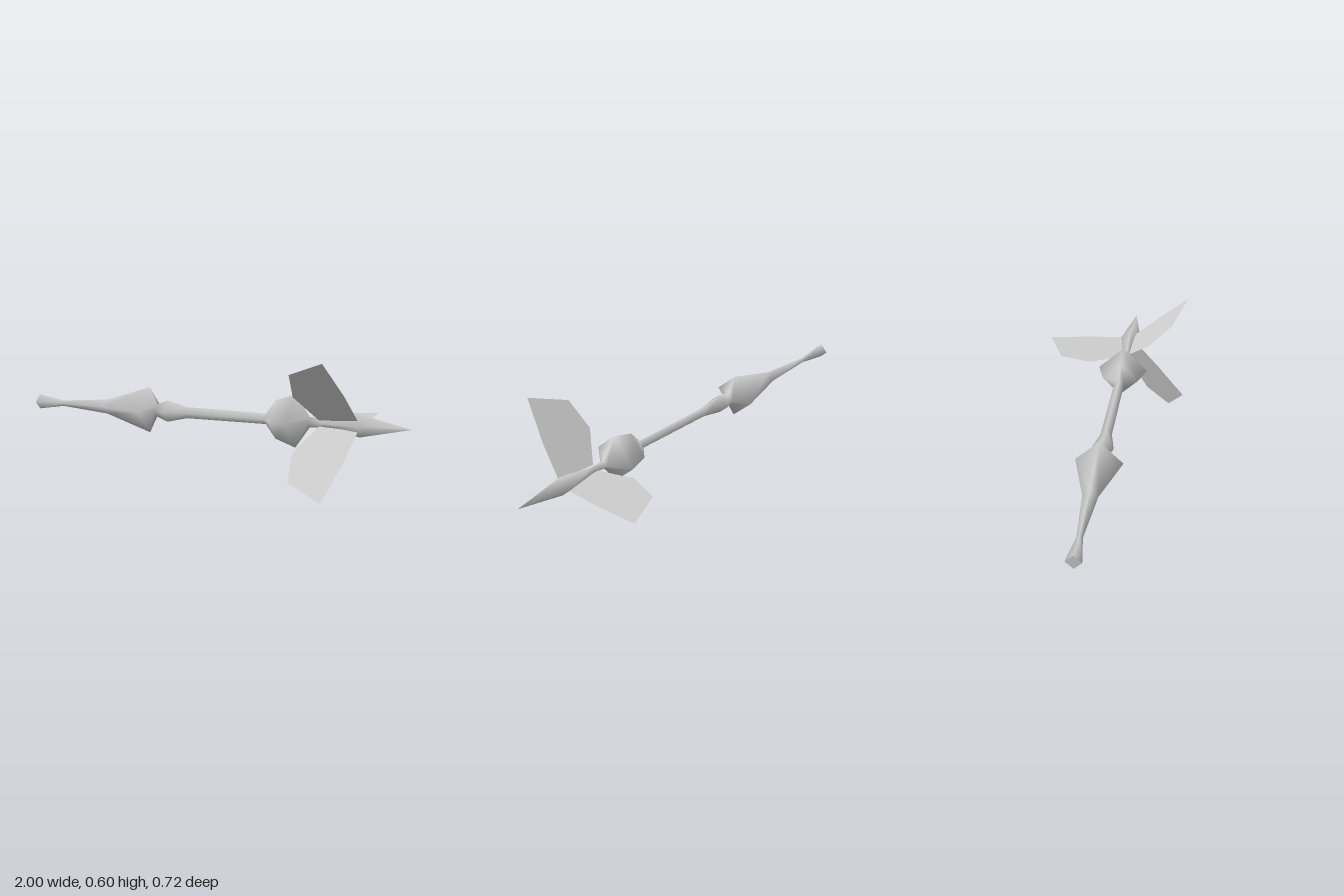
import * as THREE from 'three';

export function createModel() {
  const model = new THREE.Group();
  model.name = 'dart';
  const grey = new THREE.MeshStandardMaterial({ color: 0xcccccc, side: THREE.DoubleSide });
  grey.name = 'light grey';

  // Everything sits on one long axis running along x
  const axis = new THREE.Group();
  axis.name = 'dartAxis';
  axis.position.set(0, 0.302, 0.062);
  model.add(axis);

  const add = (name, geometry) => {
    const mesh = new THREE.Mesh(geometry, grey);
    mesh.name = name;
    axis.add(mesh);
    return mesh;
  };

  // Four-sided smooth body: [radius, position along x]
  const profile = [
    [0.037, -1], [0.014, -0.85], [0.036, -0.58], [0.112, -0.33],
    [0.03, -0.29], [0.052, -0.23], [0.027, -0.12], [0.025, 0.3],
    [0.09, 0.35], [0.124, 0.45], [0.025, 0.52], [0.019, 0.59],
    [0.052, 0.76], [0, 1],
  ].map(([r, x]) => new THREE.Vector2(r, x));
  add('body', new THREE.LatheGeometry(profile, 4).rotateZ(-Math.PI / 2));

  // Flat cap closing the flared end
  const cap = add('endCap', new THREE.CircleGeometry(0.037, 4).rotateY(-Math.PI / 2));
  cap.position.x = -1;

  // Three flat fins, one straight back and two at 45 degrees to the front
  const outline = [
    [0.57, 0.02], [0.76, 0.03], [0.74, 0.21], [0.698, 0.424], [0.518, 0.336], [0.49, 0.178],
  ].map(([x, r]) => new THREE.Vector2(x, r));
  const finGeometry = new THREE.ShapeGeometry(new THREE.Shape(outline));
  const fins = { upperFin: Math.PI / 4, lowerFin: 3 * Math.PI / 4, backFin: -Math.PI / 2 };
  for (const [name, angle] of Object.entries(fins)) {
    add(name, finGeometry).rotation.x = angle;
  }
  return model;
}
